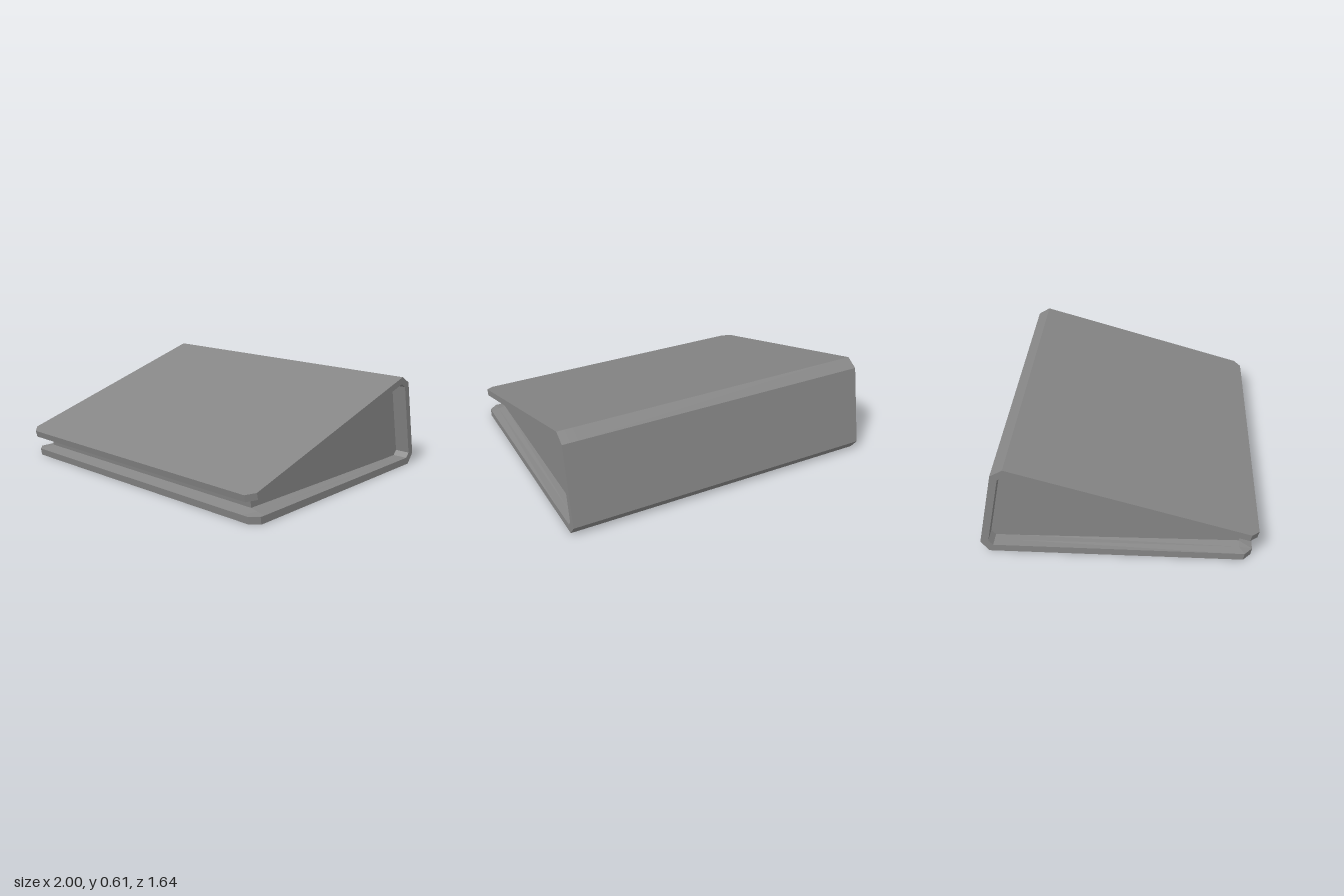
import * as THREE from 'three';

// Extrudes a side profile of [z, y] points along x, with sections at the given x stations.
function extrudeAcross(points, stations) {
  const shape = new THREE.Shape(points.map(([z, y]) => new THREE.Vector2(-z, y)));
  const steps = stations.length - 1;
  const geometry = new THREE.ExtrudeGeometry(shape, { depth: steps, steps, bevelEnabled: false });
  geometry.rotateY(Math.PI / 2);
  const p = geometry.attributes.position;
  for (let i = 0; i < p.count; i++) p.setX(i, stations[Math.round(p.getX(i))]);
  return geometry;
}

export function createModel() {
  const model = new THREE.Group();
  model.name = 'book';
  const grey = new THREE.MeshStandardMaterial({ color: 0x868686 });
  grey.name = 'grey';

  // Cover: bottom board, bevelled spine and raised top board in one wrap
  const coverGeometry = extrudeAcross([
    [0.78, 0], [-0.77, 0], [-0.82, 0.065], [-0.72, 0.56], [-0.645, 0.605], [0.82, 0.177],
    [0.81, 0.135], [-0.64, 0.56], [-0.68, 0.535], [-0.772, 0.075], [-0.745, 0.045],
    [-0.62, 0.045], [0.71, 0.045], [0.787, 0.045],
  ], [-1, -0.95, -0.905, 0.905, 0.95, 1]);
  const p = coverGeometry.attributes.position;
  for (let i = 0; i < p.count; i++) {
    const x = Math.abs(p.getX(i)), y = p.getY(i), z = p.getZ(i);
    // Clip the front corners of both boards
    if (x > 0.99 && z > 0.75) {
      p.setZ(i, z - 0.046);
      if (y > 0.1) p.setY(i, y + 0.0135);
    }
    // Raise the inside of the bottom board towards the page block
    if (Math.abs(z - 0.71) < 0.001) p.setY(i, y + 0.02 * Math.min(1, (1 - x) / 0.095));
  }
  coverGeometry.computeVertexNormals();
  const cover = new THREE.Mesh(coverGeometry, grey);
  cover.name = 'cover';

  // Page block filling the wedge between the boards
  const pages = new THREE.Mesh(extrudeAcross([
    [0.708, 0.055], [-0.62, 0.04], [-0.745, 0.04], [-0.776, 0.075],
    [-0.684, 0.538], [-0.642, 0.563], [0.724, 0.163],
  ], [-0.905, 0.905]), grey);
  pages.name = 'pages';

  model.add(cover, pages);
  return model;
}
